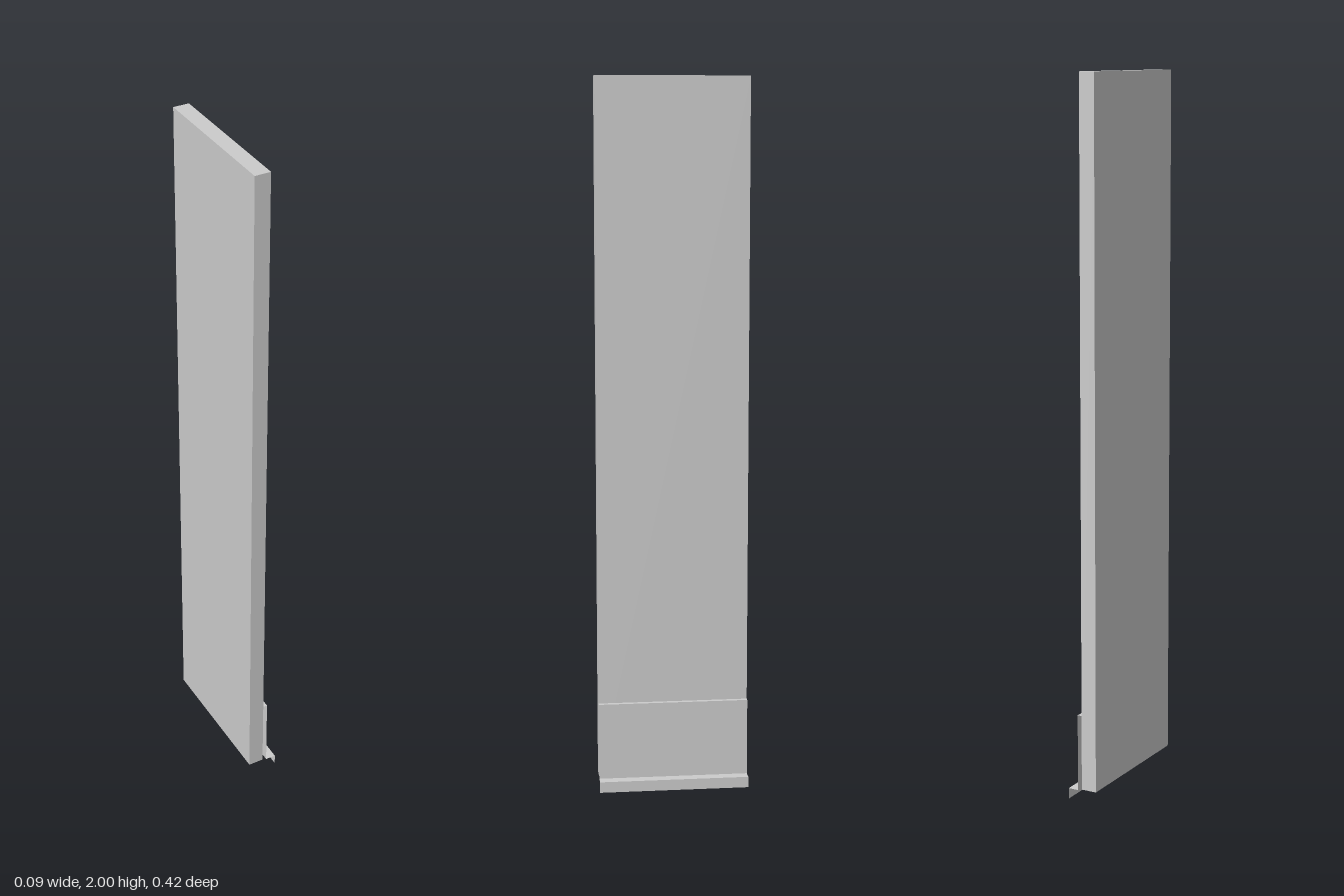
import * as THREE from 'three';

const DEPTH = 0.424;

// Bent sheet: an open (x, y) profile swept straight along z
function foldedSheet(profile, depth) {
  const pos = [];
  for (let i = 0; i < profile.length - 1; i++) {
    const [ax, ay] = profile[i], [bx, by] = profile[i + 1], h = depth / 2;
    pos.push(ax, ay, h, bx, by, h, bx, by, -h);
    pos.push(ax, ay, h, bx, by, -h, ax, ay, -h);
  }
  const geo = new THREE.BufferGeometry();
  geo.setAttribute('position', new THREE.Float32BufferAttribute(pos, 3));
  geo.computeVertexNormals();
  return geo;
}

export function createModel() {
  const group = new THREE.Group();

  // Door leaf
  const leaf = new THREE.Mesh(
    new THREE.BoxGeometry(0.045, 1.965, DEPTH),
    new THREE.MeshStandardMaterial({ color: 0xcccccc })
  );
  leaf.name = 'doorLeaf';
  leaf.position.set(-0.0215, 1.0175, 0);
  group.add(leaf);

  // Weather bar: top ledge, upright face, drip flange and hanging lip
  const bar = new THREE.Mesh(
    foldedSheet([[0.001, 0.25], [0.0135, 0.25], [0.0135, 0.031], [0.0435, 0.031], [0.0435, 0]], DEPTH),
    new THREE.MeshStandardMaterial({ color: 0xcccccc, side: THREE.DoubleSide })
  );
  bar.name = 'weatherBar';
  group.add(bar);

  return group;
}
